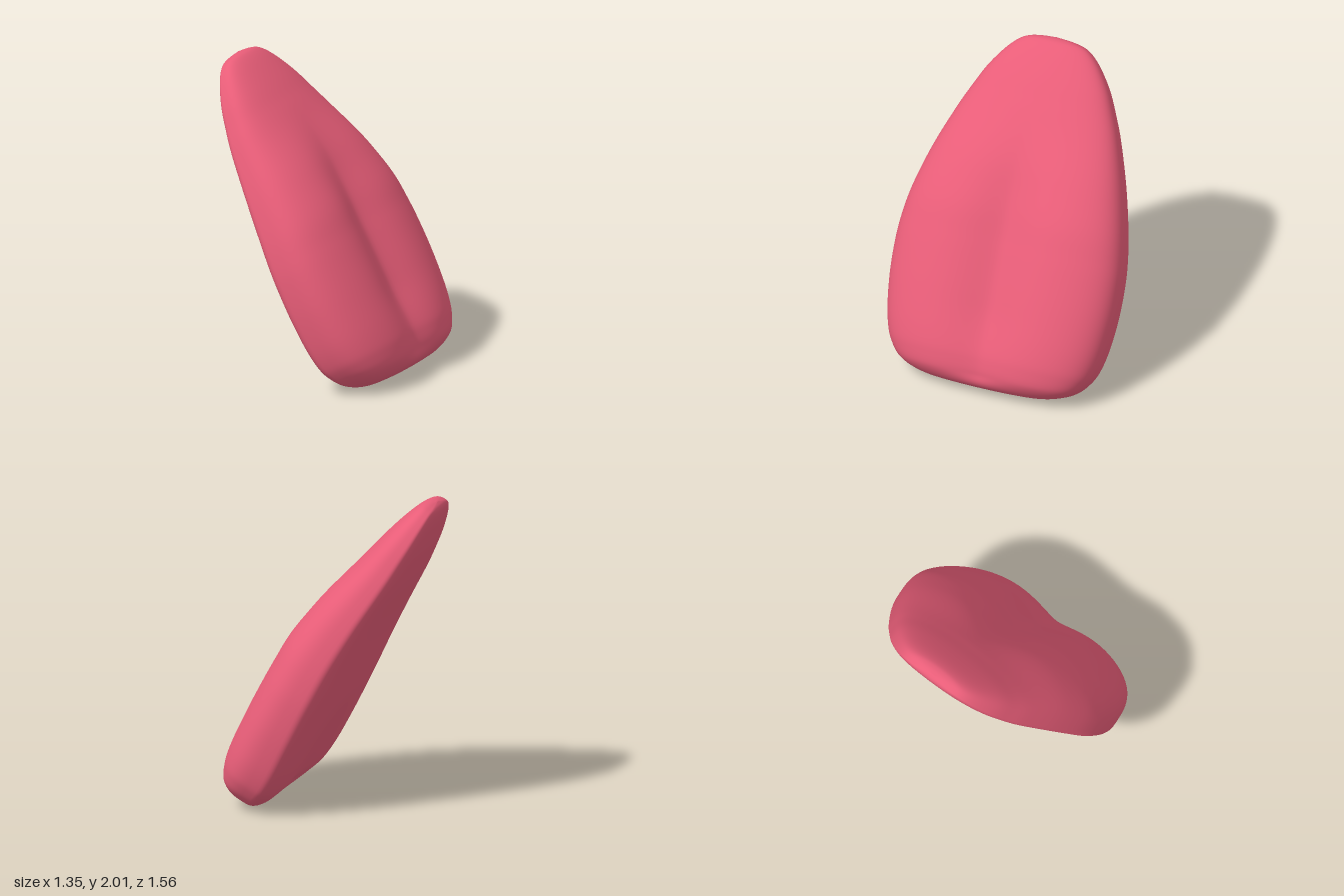
import * as THREE from 'three';
import { mergeVertices } from 'three/addons/utils/BufferGeometryUtils.js';

const { smoothstep } = THREE.MathUtils;

// Stations along the slanted axis: [distance, half width, underside height, top height]
const STATIONS = [
  [-0.25, 0, 0.49, 0.49], [-0.246, 0.21, 0.45, 0.54], [-0.232, 0.4, 0.405, 0.6],
  [-0.2, 0.525, 0.353, 0.65], [-0.15, 0.615, 0.309, 0.685], [-0.08, 0.675, 0.274, 0.71],
  [0, 0.715, 0.252, 0.728], [0.14, 0.75, 0.243, 0.741], [0.35, 0.775, 0.247, 0.748],
  [0.55, 0.78, 0.255, 0.75], [0.72, 0.77, 0.262, 0.749], [0.93, 0.735, 0.27, 0.742],
  [1.21, 0.66, 0.275, 0.686], [1.49, 0.56, 0.272, 0.618], [1.65, 0.49, 0.276, 0.58],
  [1.8, 0.415, 0.286, 0.538], [1.94, 0.315, 0.305, 0.488], [2.02, 0.225, 0.325, 0.448],
  [2.05, 0.13, 0.345, 0.415], [2.063, 0, 0.376, 0.376],
];

// Centre groove on top, open at the root and fading out towards the tip
const grooveDepth = (s) =>
  (0.075 + 0.045 * smoothstep(s, -0.2, 0.3)) * smoothstep(s, -0.25, -0.15) * (1 - smoothstep(s, 0.8, 1.65));

// Rise of the two lobes beside the groove
const lobeRise = (s) => 0.042 * smoothstep(s, -0.25, -0.15) * (1 - smoothstep(s, 1.15, 1.7));

// Shallow hollow under the root
const hollowDepth = (s) => 0.05 * smoothstep(s, -0.23, -0.08) * (1 - smoothstep(s, 0, 0.7));

function tongueGeometry(rings = 96, sides = 160) {
  const curve = (f) => new THREE.CatmullRomCurve3(STATIONS.map(f), false, 'catmullrom');
  const widths = curve(([s, w]) => new THREE.Vector3(s, w, 0));
  const heights = curve(([s, , lo, hi]) => new THREE.Vector3(s, lo, hi));
  const along = new THREE.Vector2(-0.478, 0.878);
  const up = new THREE.Vector2(0.878, 0.478);
  const positions = [];
  const index = [];

  for (let i = 0; i <= rings; i++) {
    const { x: s, y: w } = widths.getPoint(i / rings);
    const { y: lo, z: hi } = heights.getPoint(i / rings);
    const edge = lo + 0.34 * (hi - lo);
    const groove = grooveDepth(s);
    const crown = hi + lobeRise(s);
    const hollow = hollowDepth(s);
    for (let j = 0; j < sides; j++) {
      const a = (j / sides) * Math.PI * 2;
      const z = w * Math.cos(a), sn = Math.sin(a);
      let h;
      if (sn >= 0) {
        // two rounded lobes with the groove between them
        h = edge + (crown - edge) * Math.pow(sn, 0.67);
        h -= groove * Math.exp(-Math.pow(Math.abs(z) / 0.24, 1.6));
      } else {
        // flat underside with tight edges
        h = edge - (edge - lo) * Math.pow(-sn, 0.48);
        h += hollow * Math.exp(-Math.pow(z / 0.36, 2));
      }
      positions.push(along.x * s + up.x * h, along.y * s + up.y * h, z);
      if (i < rings) {
        const k = (j + 1) % sides;
        const p = i * sides, q = p + sides;
        index.push(p + j, p + k, q + j, p + k, q + k, q + j);
      }
    }
  }

  let geometry = new THREE.BufferGeometry();
  geometry.setAttribute('position', new THREE.Float32BufferAttribute(positions, 3));
  geometry.setIndex(index);
  geometry = mergeVertices(geometry, 1e-5);

  // Stand on the ground, centred
  geometry.computeBoundingBox();
  const { min, max } = geometry.boundingBox;
  geometry.translate(-(min.x + max.x) / 2, -min.y, 0);
  geometry.computeVertexNormals();
  return geometry;
}

export function createModel() {
  const group = new THREE.Group();
  const tongue = new THREE.Mesh(
    tongueGeometry(),
    new THREE.MeshStandardMaterial({ color: 0xe85d78 }),
  );
  tongue.name = 'tongue';
  group.add(tongue);
  return group;
}
